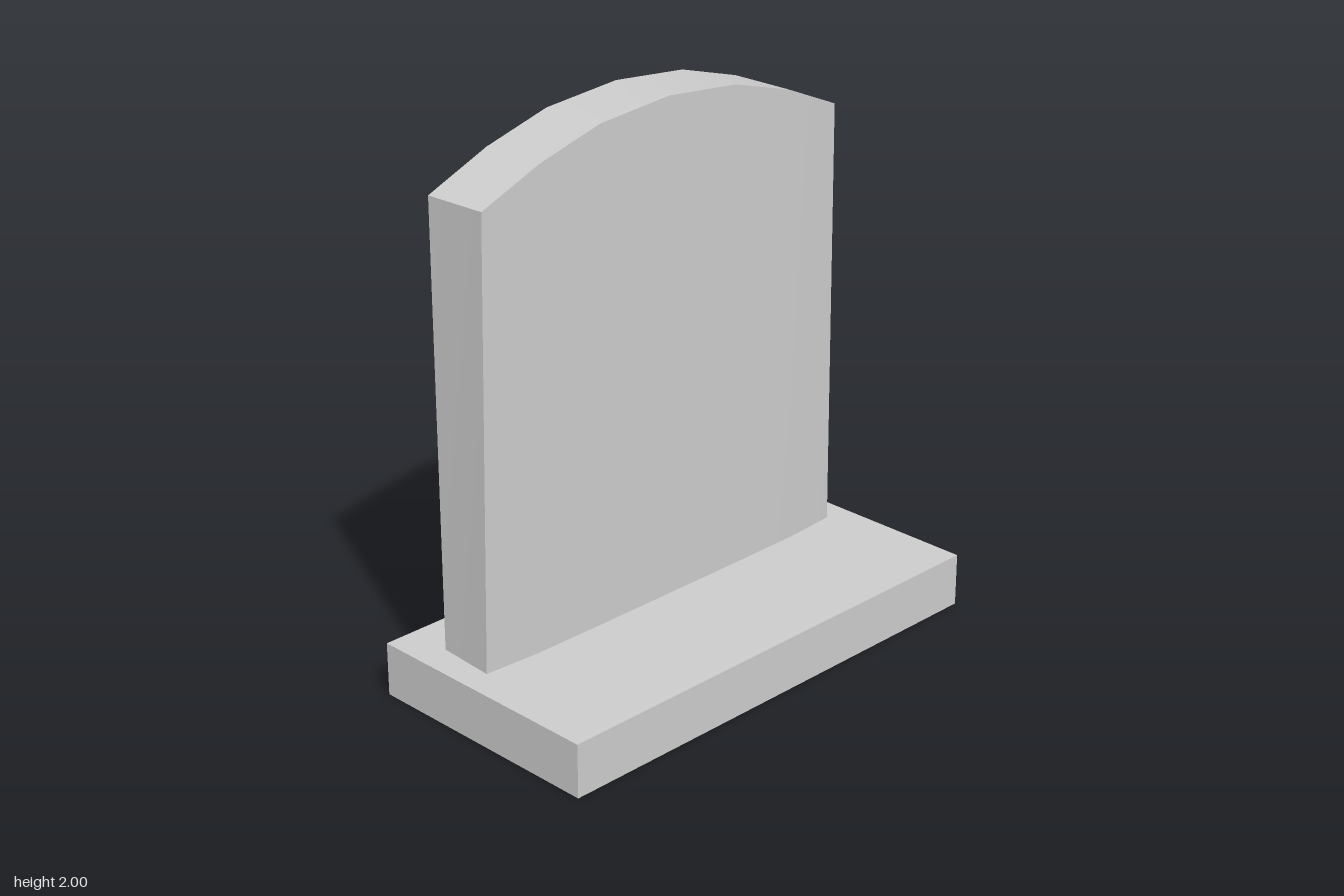
import * as THREE from 'three';

// Strip of quads between two rows of points, smooth along its length
function strip(name, rowA, rowB, material) {
  const geo = new THREE.BufferGeometry();
  geo.setAttribute('position', new THREE.Float32BufferAttribute([...rowA, ...rowB].flat(), 3));
  const n = rowA.length;
  const index = [];
  for (let i = 0; i < n - 1; i++) index.push(i, i + 1, n + i + 1, i, n + i + 1, n + i);
  geo.setIndex(index);
  geo.computeVertexNormals();
  const mesh = new THREE.Mesh(geo, material);
  mesh.name = name;
  return mesh;
}

// Full left-to-right row from the points of its +x half, centre first
const mirrorRow = (half) => [...half.slice(1).reverse().map(([x, y, z]) => [-x, y, z]), ...half];

export function createModel() {
  const model = new THREE.Group();
  model.name = 'headstone';
  const stone = new THREE.MeshStandardMaterial({ color: 0xcccccc });
  stone.name = 'grey stone';

  // Plinth
  const plinth = new THREE.Mesh(new THREE.BoxGeometry(1.87, 0.196, 0.94), stone);
  plinth.name = 'plinth';
  plinth.position.y = 0.098;
  model.add(plinth);

  // Slab edges: arched top, slightly skewed corners
  const y0 = 0.196;
  const frontTop = mirrorRow([[0, 2, -0.055], [0.31, 1.973, -0.055], [0.57, 1.9, -0.055], [0.81, 1.8, -0.058]]);
  const backTop = mirrorRow([[0, 2, -0.305], [0.31, 1.973, -0.305], [0.57, 1.9, -0.304], [0.822, 1.8, -0.296]]);
  const frontLow = mirrorRow([[0, y0, -0.055], [0.31, y0, -0.055], [0.62, y0, -0.057], [0.837, y0, -0.072]]);
  const backLow = mirrorRow([[0, y0, -0.305], [0.31, y0, -0.305], [0.62, y0, -0.304], [0.824, y0, -0.296]]);
  const last = frontTop.length - 1;

  const slab = new THREE.Group();
  slab.name = 'slab';
  slab.add(
    strip('slabFront', frontLow, frontTop, stone),
    strip('slabBack', backTop, backLow, stone),
    strip('slabArch', frontTop, backTop, stone),
    strip('slabUnderside', backLow, frontLow, stone),
    strip('slabLeftSide', [frontLow[last], backLow[last]], [frontTop[last], backTop[last]], stone),
    strip('slabRightSide', [backLow[0], frontLow[0]], [backTop[0], frontTop[0]], stone),
  );
  model.add(slab);
  return model;
}
